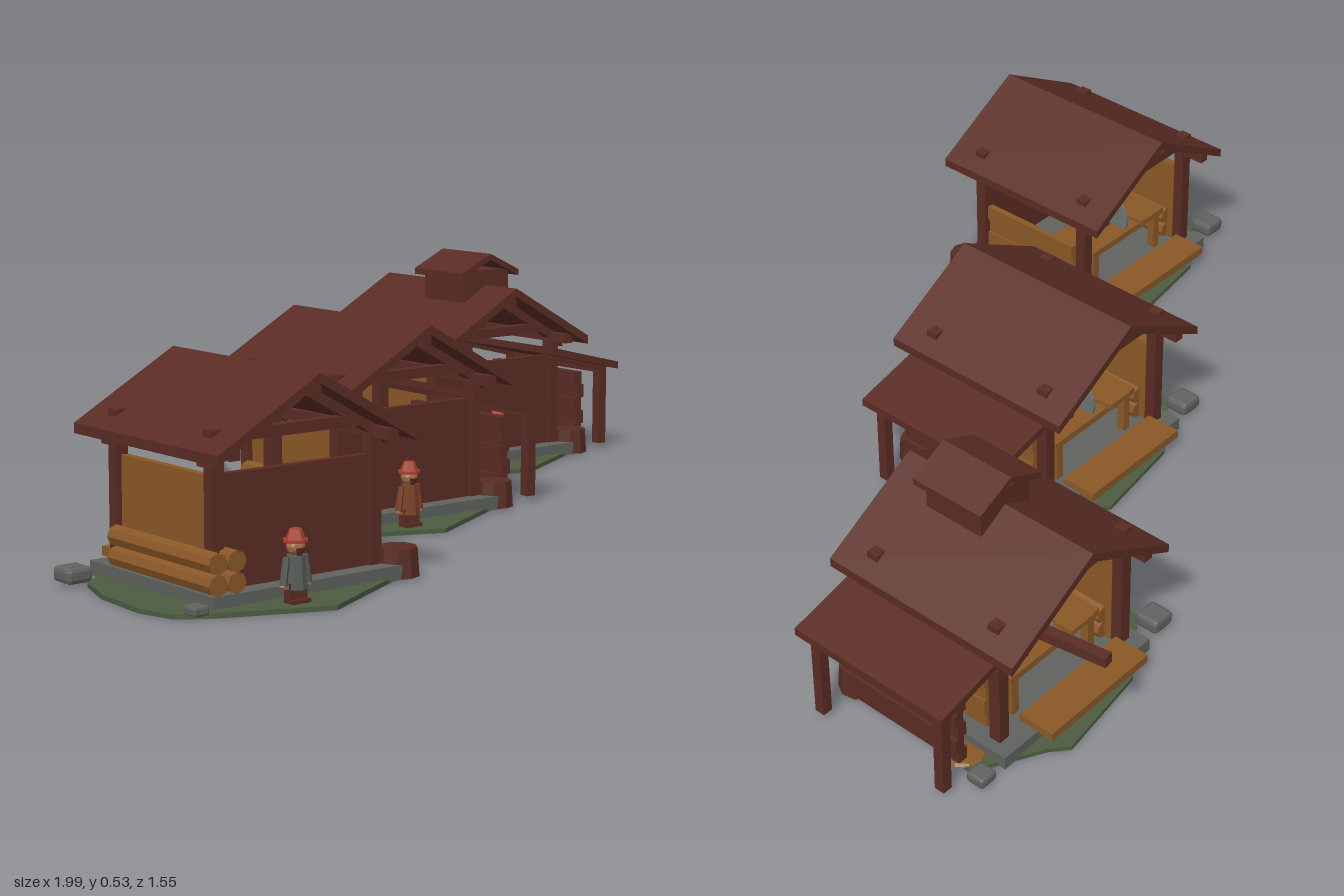
import * as THREE from 'three';
import { RoundedBoxGeometry } from 'three/addons/geometries/RoundedBoxGeometry.js';

const mat = (name, color) => {
  const m = new THREE.MeshStandardMaterial({ color, flatShading: true });
  m.name = name;
  return m;
};

export function createModel() {
  const wood = mat('brown wood', 0x5a2c24), lumber = mat('cut lumber', 0x8a5826);
  const stone = mat('stone', 0x5f625e), grass = mat('grass', 0x4c5c40), steel = mat('steel', 0x6c7474);
  const red = mat('hat red', 0xa8402c), skin = mat('skin', 0xa87048);
  const coats = [mat('grey coat', 0x565c58), mat('rust coat', 0x7c4024), mat('green coat', 0x2f4429)];

  const add = (parent, name, geo, material, x = 0, y = 0, z = 0) => {
    const m = new THREE.Mesh(geo, material);
    m.name = name;
    m.position.set(x, y, z);
    parent.add(m);
    return m;
  };
  // box given by its extents
  const box = (parent, name, material, x0, x1, y0, y1, z0, z1) =>
    add(parent, name, new THREE.BoxGeometry(x1 - x0, y1 - y0, z1 - z0), material,
      (x0 + x1) / 2, (y0 + y1) / 2, (z0 + z1) / 2);
  // x-y profile drawn out along z
  const prism = (parent, name, material, pts, z0, z1) => {
    const shape = new THREE.Shape(pts.map(p => new THREE.Vector2(...p)));
    return add(parent, name, new THREE.ExtrudeGeometry(shape, { depth: z1 - z0, bevelEnabled: false }),
      material, 0, 0, z0);
  };
  const gable = (parent, name, w, top, eave, t, z0, z1) => prism(parent, name, wood,
    [[0, top], [-w, eave], [-w, eave - t], [0, top - t], [w, eave - t], [w, eave]], z0, z1);

  function worker(coat) {
    const g = new THREE.Group();
    g.name = 'worker';
    for (const s of [-1, 1]) {
      box(g, 'leg', wood, s * 0.012 - 0.009, s * 0.012 + 0.009, 0.008, 0.05, -0.01, 0.01);
      box(g, 'boot', wood, s * 0.012 - 0.01, s * 0.012 + 0.01, 0.006, 0.018, -0.01, 0.02);
      const arm = add(g, 'arm', new THREE.CylinderGeometry(0.007, 0.008, 0.055, 6), coat, s * 0.026, 0.073, 0);
      arm.rotation.z = s * 0.15;
      add(g, 'hand', new THREE.IcosahedronGeometry(0.008, 0), skin, s * 0.03, 0.044, 0);
    }
    add(g, 'coat', new THREE.CylinderGeometry(0.018, 0.024, 0.066, 8), coat, 0, 0.07, 0);
    add(g, 'head', new THREE.IcosahedronGeometry(0.019, 1), skin, 0, 0.12, 0);
    add(g, 'beard', new THREE.ConeGeometry(0.013, 0.025, 6), wood, 0, 0.106, 0.012).rotation.x = Math.PI;
    add(g, 'hatBrim', new THREE.CylinderGeometry(0.025, 0.025, 0.006, 10), red, 0, 0.131, 0);
    add(g, 'hatCrown', new THREE.CylinderGeometry(0.012, 0.02, 0.02, 8), red, 0, 0.144, 0);
    return g;
  }

  function leanTo(g) {
    prism(g, 'leanToRoof', wood, [[0.15, 0.285], [0.15, 0.267], [0.38, 0.212], [0.38, 0.23]], -0.183, 0.222);
    for (const z of [-0.162, 0.175]) {
      box(g, 'leanToPost', wood, 0.347, 0.371, 0.015, 0.222, z - 0.012, z + 0.012);
      prism(g, 'leanToRafter', wood, [[0.18, 0.268], [0.18, 0.25], [0.37, 0.204], [0.37, 0.222]], z - 0.01, z + 0.01);
    }
    box(g, 'leanToBeam', wood, 0.35, 0.368, 0.2, 0.218, -0.16, 0.17);
    // stacked boards leaning alternately in and out
    for (let i = 0; i < 5; i++) {
      const x = 0.292 + (i % 2) * 0.008;
      box(g, 'boardWall', wood, x - 0.012, x + 0.012, 0.035 + i * 0.034, 0.069 + i * 0.034, -0.155, 0.165);
    }
  }

  function cupola(g) {
    box(g, 'cupolaBox', wood, -0.073, 0.073, 0.39, 0.485, -0.015, 0.135);
    gable(g, 'cupolaRoof', 0.093, 0.527, 0.483, 0.015, -0.032, 0.152);
    const beam = box(g, 'hoistBeam', wood, 0.114, 0.138, 0.3, 0.324, -0.376, -0.05);
    beam.rotation.y = 0.15;
  }

  function shed(level) {
    const g = new THREE.Group();
    g.name = 'sawShed';

    // ground and foundation
    const outline = [[0.1, -0.28], [-0.14, -0.245], [-0.29, -0.135], [-0.325, -0.03], [-0.335, 0.115], [-0.31, 0.196],
      [-0.247, 0.238], [-0.023, 0.329], [0.233, 0.196], [0.265, 0.01], [0.285, -0.167], [0.137, -0.247]];
    const ground = new THREE.Shape(outline.map(([x, z]) => new THREE.Vector2(x, -z)));
    add(g, 'ground', new THREE.ExtrudeGeometry(ground, { depth: 0.01, bevelEnabled: false }), grass).rotation.x = -Math.PI / 2;
    box(g, 'foundation', stone, -0.232, 0.232, 0.003, 0.034, -0.215, 0.215);
    add(g, 'sawdust', new THREE.CylinderGeometry(0.045, 0.05, 0.006, 10), lumber, 0.25, 0.011, -0.12);
    for (const [x, z, s] of [[-0.3, -0.172, 0.06], [0.287, -0.2, 0.045], [-0.273, 0.217, 0.038]])
      add(g, 'rock', new RoundedBoxGeometry(s, s * 0.55, s, 1, s * 0.15), stone, x, 0.006 + s * 0.28, z);

    // frame
    for (const x of [-0.193, 0.193]) {
      for (const z of [-0.165, 0.165])
        box(g, 'post', wood, x - 0.014, x + 0.014, 0.03, 0.347, z - 0.014, z + 0.014);
      box(g, 'wallPlate', wood, x - 0.012, x + 0.012, 0.295, 0.318, -0.235, 0.235);
    }
    for (const z of [-0.165, 0.165]) {
      box(g, 'tieBeam', wood, -0.2, 0.2, 0.32, 0.343, z - 0.012, z + 0.012);
      gable(g, 'rafters', 0.225, 0.428, 0.302, 0.024, z - 0.012, z + 0.012);
    }
    box(g, 'ridgeBeam', wood, -0.013, 0.013, 0.4, 0.425, -0.235, 0.235);
    gable(g, 'roof', 0.244, 0.448, 0.312, 0.021, -0.248, 0.25);

    // walls: solid front, tall board wall on one side, low lapped boards on the other
    box(g, 'frontWall', wood, -0.18, 0.178, 0.034, 0.26, 0.155, 0.173);
    box(g, 'sideWall', lumber, -0.195, -0.178, 0.034, 0.255, -0.152, 0.153);
    for (let i = 0; i < 4; i++) {
      const x = 0.182 + (i % 2) * 0.006;
      box(g, 'lowWall', lumber, x - 0.008, x + 0.008, 0.034 + i * 0.038, 0.072 + i * 0.038, -0.128, 0.153);
    }

    // saw bench
    box(g, 'benchTop', lumber, -0.14, 0.14, 0.13, 0.147, -0.15, -0.02);
    for (const x of [-0.12, 0.12]) for (const z of [-0.135, -0.035])
      box(g, 'benchLeg', lumber, x - 0.01, x + 0.01, 0.034, 0.13, z - 0.01, z + 0.01);
    box(g, 'benchPlank', lumber, -0.11, -0.04, 0.147, 0.157, -0.16, 0);
    add(g, 'sawBlade', new THREE.CylinderGeometry(0.058, 0.058, 0.008, 20), steel, 0, 0.17, -0.088).rotation.z = Math.PI / 2;
    box(g, 'backStep', lumber, -0.178, 0.13, 0.03, 0.05, -0.253, -0.165);

    // log pile, stump and worker
    for (const x of [-0.22, -0.176]) for (const y of [0.055, 0.097])
      add(g, 'log', new THREE.CylinderGeometry(0.022, 0.022, 0.35, 8), lumber, x, y, 0.04).rotation.x = Math.PI / 2;
    add(g, 'stump', new THREE.CylinderGeometry(0.041, 0.045, 0.06, 9), wood, 0.25, 0.034, 0.178);
    const man = worker(coats[level]);
    man.position.set(-0.068, 0, 0.257);
    g.add(man);

    if (level > 0) leanTo(g);
    if (level > 1) cupola(g);
    return g;
  }

  const model = new THREE.Group();
  model.name = 'sawmillRow';
  for (let i = 0; i < 3; i++) {
    const s = shed(i);
    s.position.set(-0.66 + 0.635 * i, 0, 0.447 - 0.4245 * i);
    model.add(s);
  }
  return model;
}
